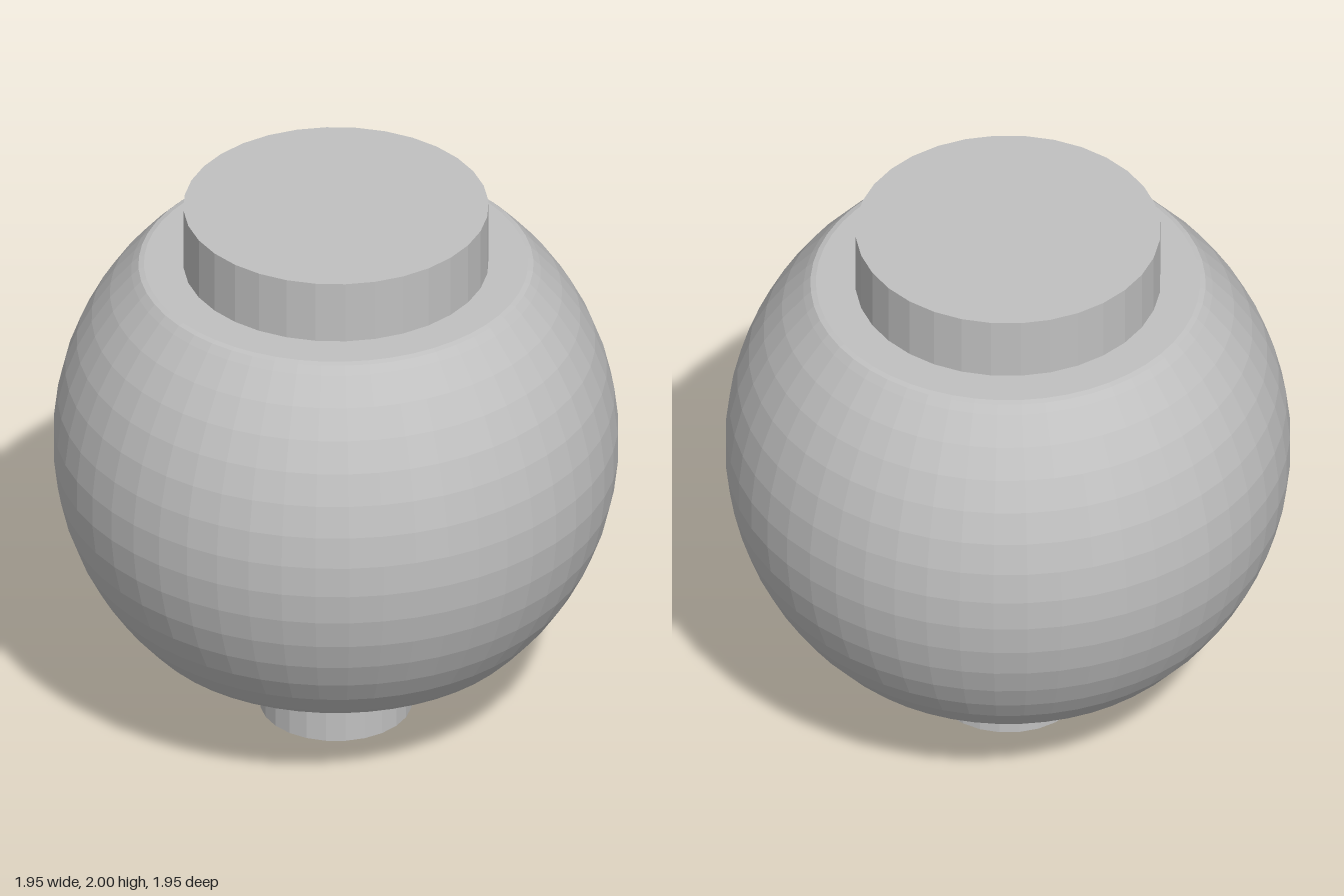
import * as THREE from 'three';

export function createModel() {
  const metal = new THREE.MeshStandardMaterial({ color: 0xc0c0c0 });
  metal.name = 'greyMetal';
  metal.flatShading = true;

  const model = new THREE.Group();
  model.name = 'ballKnob';
  const add = (name, geometry, y = 0) => {
    const mesh = new THREE.Mesh(geometry, metal);
    mesh.name = name;
    mesh.position.y = y;
    model.add(mesh);
  };

  // Knob: truncated ball with softened rims and a through bore
  const radius = 0.978, centre = 1.065, half = 0.705, bore = 0.455;
  const bands = 13, limit = Math.asin(0.675 / radius);
  const profile = [[bore, -half], [0.664, -half], [0.683, -0.7]];
  for (let i = 0; i <= bands; i++) {
    const a = -limit + (2 * limit * i) / bands;
    profile.push([radius * Math.cos(a), radius * Math.sin(a)]);
  }
  profile.push([0.683, 0.7], [0.664, half], [bore, half], [bore, -half]);
  add('knob', new THREE.LatheGeometry(profile.map(([x, y]) => new THREE.Vector2(x, y)), 52), centre);

  // Bolt: wide head resting on the knob, stem running down through the bore
  const cylinder = (name, r, bottom, top, sides) =>
    add(name, new THREE.CylinderGeometry(r, r, top - bottom, sides), (bottom + top) / 2);
  cylinder('head', 0.528, 1.77, 2, 32);
  cylinder('stem', 0.263, 0, 1.77, 24);

  return model;
}
